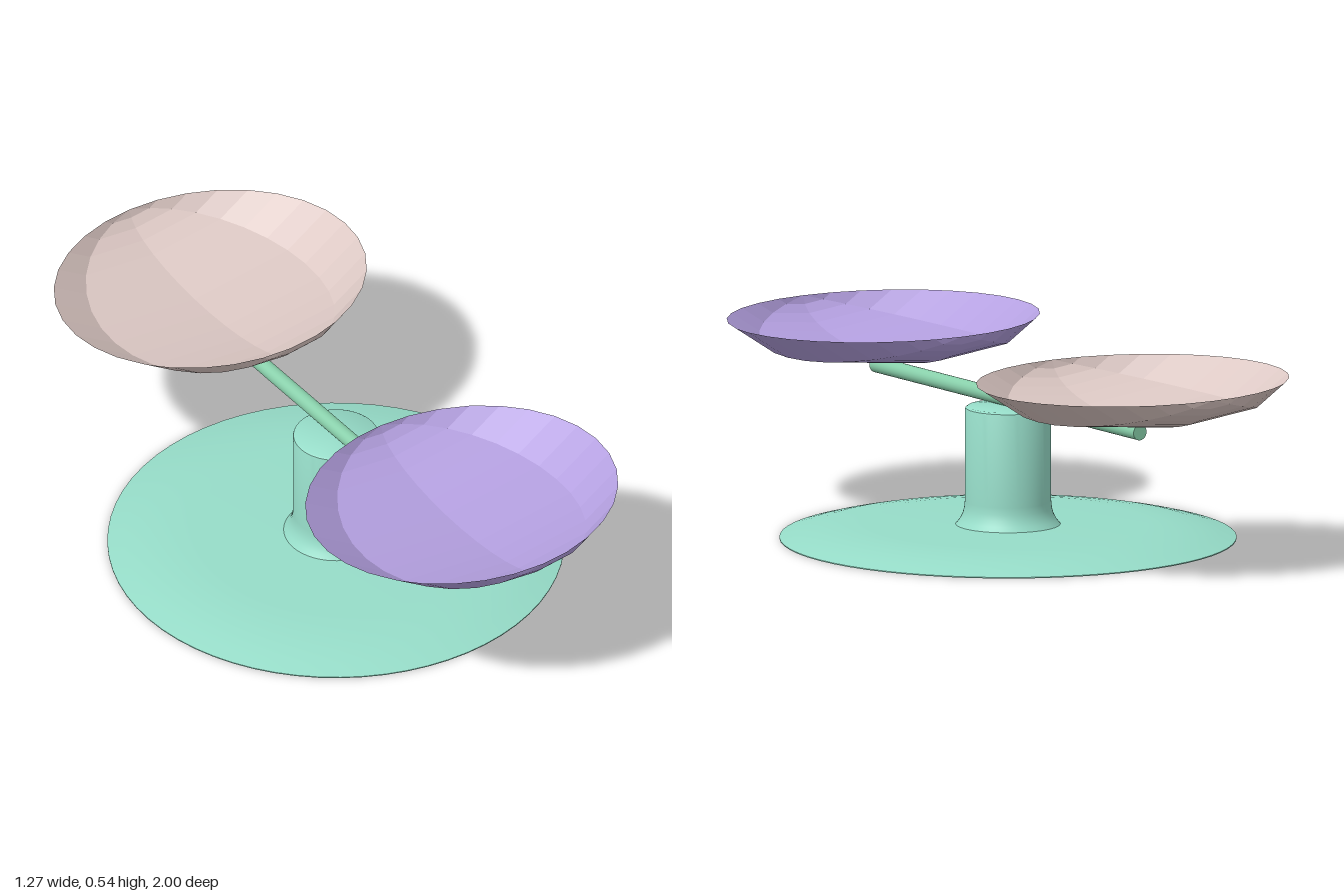
import * as THREE from 'three';
import { toCreasedNormals } from 'three/addons/utils/BufferGeometryUtils.js';

function addMesh(group, name, geometry, color, options = {}) {
  const material = new THREE.MeshStandardMaterial({ color, ...options });
  const mesh = new THREE.Mesh(geometry, material);
  mesh.name = name;
  group.add(mesh);
  return mesh;
}

function lathe(points) {
  const profile = points.map(([r, y]) => new THREE.Vector2(r, y));
  return toCreasedNormals(new THREE.LatheGeometry(profile, 64), 0.6);
}

export function createModel() {
  const model = new THREE.Group();
  model.name = 'balanceScale';

  // Wide foot: flat underneath, rim curving up to a flat top
  addMesh(model, 'base', lathe([
    [0, 0], [0.635, 0], [0.635, 0.003], [0.59, 0.015], [0.54, 0.026],
    [0.49, 0.033], [0.44, 0.038], [0.39, 0.04], [0, 0.04],
  ]), 0x96dcc8);

  // Column with a flared foot and a slightly rounded top edge
  addMesh(model, 'column', lathe([
    [0.147, 0.038], [0.135, 0.053], [0.127, 0.068], [0.122, 0.085], [0.12, 0.105],
    [0.12, 0.362], [0.118, 0.368], [0.112, 0.372], [0, 0.372],
  ]), 0x96dcc8);

  // Round beam from front to back
  const beam = new THREE.CylinderGeometry(0.022, 0.022, 1.29, 24).rotateX(Math.PI / 2);
  addMesh(model, 'beam', beam, 0x88cfaa).position.y = 0.393;

  // Shallow open pans: half ellipsoids with four broad facets across x
  for (const [name, side, color] of [['frontPan', 1, 0xb4a0e0], ['backPan', -1, 0xdcc8c4]]) {
    const bowl = new THREE.SphereGeometry(1, 4, 16, 0, Math.PI)
      .rotateX(Math.PI / 2)
      .scale(0.455, 0.12, 0.391);
    const pan = addMesh(model, name, bowl, color, { side: THREE.DoubleSide, flatShading: true });
    pan.position.set(0, 0.535, side * 0.609);
  }

  return model;
}
